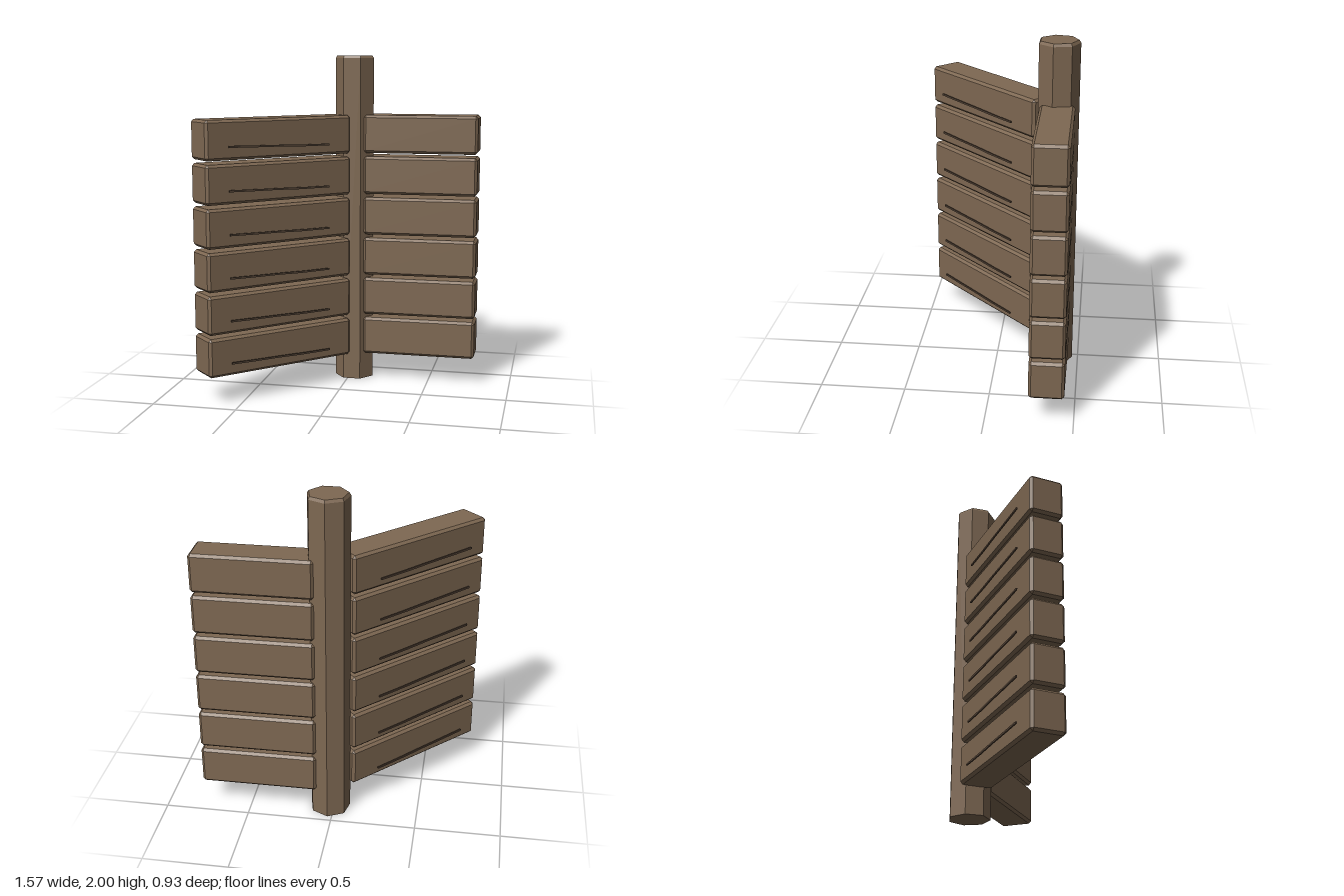
import * as THREE from 'three';
import { ConvexGeometry } from 'three/addons/geometries/ConvexGeometry.js';

const wood = new THREE.MeshStandardMaterial({ color: 0x7e6852 });
wood.name = 'wood';
const darkGrain = new THREE.MeshStandardMaterial({ color: 0x544437 });
darkGrain.name = 'dark grain';

// Box with every edge cut at 45 degrees
function chamferedBox(w, h, d, c) {
  const points = [];
  for (const sx of [-1, 1]) for (const sy of [-1, 1]) for (const sz of [-1, 1]) {
    const x = w / 2, y = h / 2, z = d / 2;
    points.push(
      new THREE.Vector3(sx * x, sy * (y - c), sz * (z - c)),
      new THREE.Vector3(sx * (x - c), sy * y, sz * (z - c)),
      new THREE.Vector3(sx * (x - c), sy * (y - c), sz * z));
  }
  return new ConvexGeometry(points);
}

// Seven-sided post with a bevelled top, one corner facing the back
function postGeometry() {
  const points = [];
  for (const [r, y] of [[0.121, 0], [0.121, 1.984], [0.111, 2]]) {
    for (let i = 0; i < 7; i++) {
      const a = Math.PI + i * Math.PI * 2 / 7;
      points.push(new THREE.Vector3(Math.sin(a) * r, y, Math.cos(a) * r));
    }
  }
  return new ConvexGeometry(points);
}

// Thin, slightly jagged sliver
function grainGeometry() {
  const shape = new THREE.Shape([
    [-0.332, 0.002], [-0.19, -0.002], [-0.02, -0.005], [0.13, -0.011], [0.332, -0.013],
    [0.332, -0.003], [0.17, -0.001], [0.02, 0.004], [-0.12, 0.007], [-0.332, 0.013],
  ].map(([x, y]) => new THREE.Vector2(x, y)));
  const geometry = new THREE.ExtrudeGeometry(shape, { depth: 0.008, bevelEnabled: false });
  return geometry.translate(0, 0, -0.004);
}

function addMesh(parent, name, geometry, material, x, y, z) {
  const mesh = new THREE.Mesh(geometry, material);
  mesh.name = name;
  mesh.position.set(x, y, z);
  parent.add(mesh);
  return mesh;
}

export function createModel() {
  const model = new THREE.Group();
  model.name = 'fenceCorner';
  addMesh(model, 'post', postGeometry(), wood, 0.026, 0, -0.344);

  const shortBeam = chamferedBox(0.69, 0.229, 0.2, 0.015);
  const longBeam = chamferedBox(0.965, 0.229, 0.198, 0.015);
  const grain = grainGeometry();

  // Diagonal side, running forward from the post
  const diagonal = new THREE.Group();
  diagonal.name = 'diagonalSide';
  diagonal.position.set(-0.385, 0, 0.064);
  diagonal.rotation.y = Math.PI / 4;
  model.add(diagonal);

  for (let i = 0; i < 6; i++) {
    const y = 0.278 + i * 0.2505;
    addMesh(model, 'straightBeam', shortBeam, wood, 0.439, y, -0.345);
    addMesh(diagonal, 'diagonalBeam', longBeam, wood, 0, y, 0);
    // Grain slivers stand just off both faces
    for (const side of [-1, 1]) {
      addMesh(diagonal, 'grain', grain, darkGrain, -0.02, y - 0.043, side * 0.122);
    }
  }
  return model;
}
